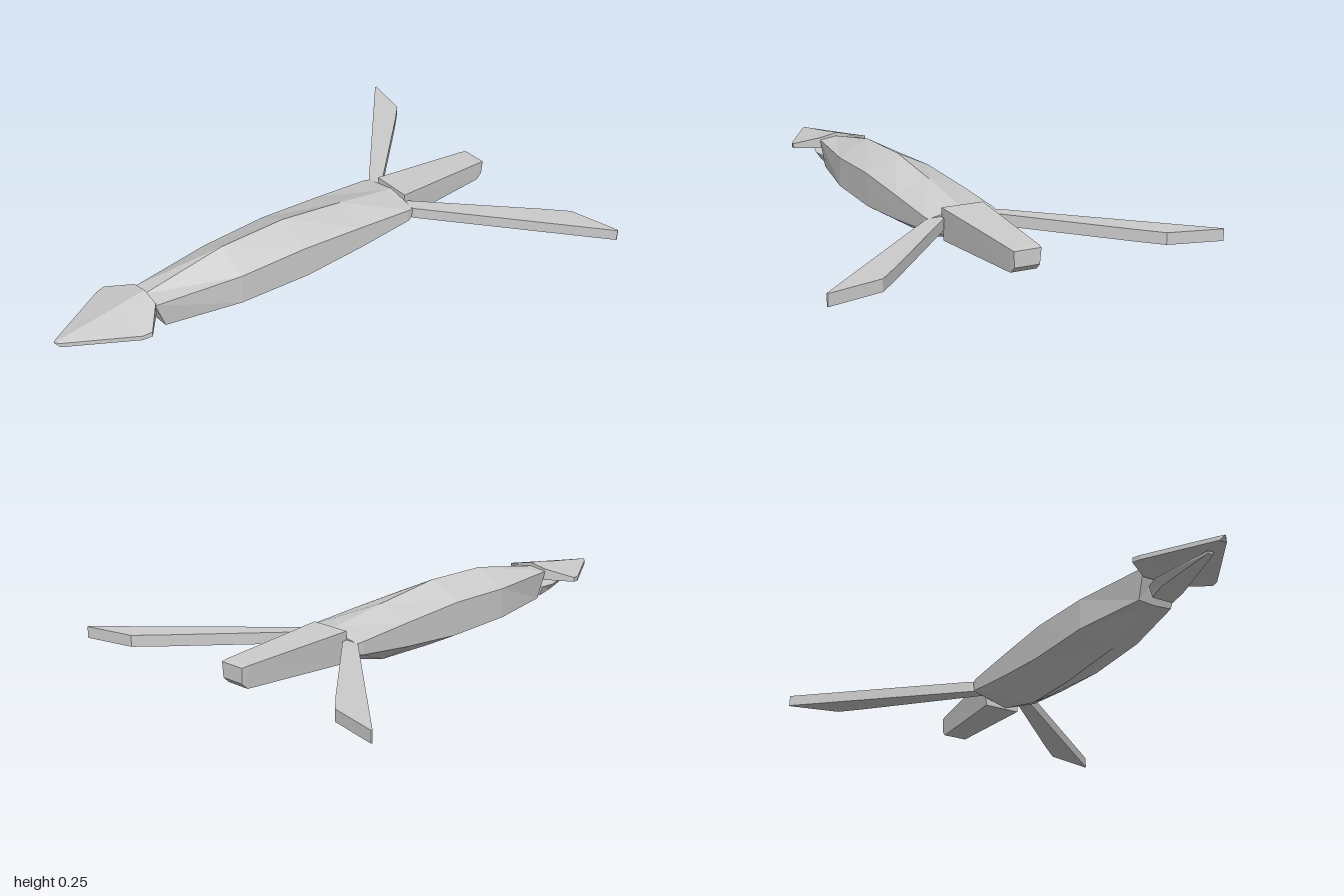
import * as THREE from 'three';

const material = new THREE.MeshStandardMaterial({ color: 0xcccccc, flatShading: true, side: THREE.DoubleSide });

// Skin a list of rings (front to back, counter-clockwise seen from the front) and cap both ends
function loft(name, rings) {
  const n = rings[0].length;
  const index = [];
  for (let i = 0; i < rings.length - 1; i++) {
    for (let j = 0; j < n; j++) {
      const a = i * n + j, b = i * n + (j + 1) % n;
      index.push(a, a + n, b, b, a + n, b + n);
    }
  }
  const last = (rings.length - 1) * n;
  for (let j = 1; j < n - 1; j++) {
    index.push(0, j, j + 1, last, last + j + 1, last + j);
  }
  const geometry = new THREE.BufferGeometry();
  geometry.setAttribute('position', new THREE.Float32BufferAttribute(rings.flat(2), 3));
  geometry.setIndex(index);
  const flat = geometry.toNonIndexed();
  flat.computeVertexNormals();
  const mesh = new THREE.Mesh(flat, material);
  mesh.name = name;
  return mesh;
}

// Six-sided ring: ridge, upper and lower side edges, keel; each given as [y, z]
const hexRing = (wUp, wLow, [ty, tz], [uy, uz], [ly, lz], [by, bz]) => [
  [0, ty, tz], [-wUp, uy, uz], [-wLow, ly, lz], [0, by, bz], [wLow, ly, lz], [wUp, uy, uz],
];

// Five-sided ring: ridge over a flat-bottomed plate
const plateRing = (w, z, ridgeY, ridgeZ, upY, lowY) => [
  [0, ridgeY, ridgeZ], [-w, upY, z], [-w, lowY, z], [w, lowY, z], [w, upY, z],
];

// Four-sided ring with separate top and bottom
const boxRing = (wTop, wBottom, top, bottom, z) => [
  [wTop, top, z], [-wTop, top, z], [-wBottom, bottom, z], [wBottom, bottom, z],
];

function createBody() {
  return loft('body', [
    hexRing(0.07, 0.065, [0.185, 0.64], [0.175, 0.64], [0.07, 0.6], [0.065, 0.6]),
    hexRing(0.12, 0.12, [0.248, 0.31], [0.185, 0.31], [0.07, 0.31], [0.015, 0.33]),
    hexRing(0.13, 0.13, [0.256, 0.04], [0.195, 0.04], [0.07, 0.02], [0.004, 0.02]),
    hexRing(0.133, 0.133, [0.225, -0.23], [0.182, -0.23], [0.092, -0.23], [0.012, -0.23]),
    hexRing(0.135, 0.135, [0.192, -0.46], [0.168, -0.46], [0.12, -0.46], [0.07, -0.455]),
    hexRing(0.13, 0.13, [0.19, -0.485], [0.165, -0.485], [0.125, -0.48], [0.12, -0.48]),
  ]);
}

function createHead() {
  const head = new THREE.Group();
  head.name = 'head';
  head.add(loft('upperHead', [
    plateRing(0.015, 0.985, 0.143, 1.0, 0.141, 0.125),
    plateRing(0.155, 0.745, 0.182, 0.745, 0.147, 0.13),
    plateRing(0.162, 0.71, 0.19, 0.71, 0.152, 0.134),
    plateRing(0.07, 0.637, 0.2, 0.637, 0.185, 0.14),
  ]));
  head.add(loft('lowerJaw', [
    boxRing(0.012, 0.01, 0.12, 0.112, 0.92),
    boxRing(0.065, 0.045, 0.108, 0.08, 0.7),
    boxRing(0.055, 0.04, 0.105, 0.066, 0.645),
  ]));
  return head;
}

function createTail() {
  return loft('tail', [
    boxRing(0.08, 0.07, 0.2, 0.08, -0.485),
    boxRing(0.053, 0.048, 0.178, 0.098, -0.905),
    boxRing(0.05, 0.046, 0.175, 0.12, -0.927),
  ]);
}

// Swept blade-shaped fin, mirrored by side = 1 or -1
function createFin(name, side) {
  const outline = [
    [0.08, 0.455], [0.14, 0.49], [0.707, 0.995], [0.705, 1.0],
    [0.51, 0.955], [0.43, 0.875], [0.08, 0.505],
  ];
  const shape = new THREE.Shape(outline.map(([x, y]) => new THREE.Vector2(x * side, y)));
  const geometry = new THREE.ExtrudeGeometry(shape, { depth: 0.042, bevelEnabled: false });
  geometry.rotateX(-Math.PI / 2);
  geometry.translate(0, 0.125, 0);
  const mesh = new THREE.Mesh(geometry, material);
  mesh.name = name;
  return mesh;
}

export function createModel() {
  const model = new THREE.Group();
  model.name = 'swimmer';
  model.add(
    createBody(),
    createHead(),
    createTail(),
    createFin('leftFin', 1),
    createFin('rightFin', -1),
  );
  return model;
}
